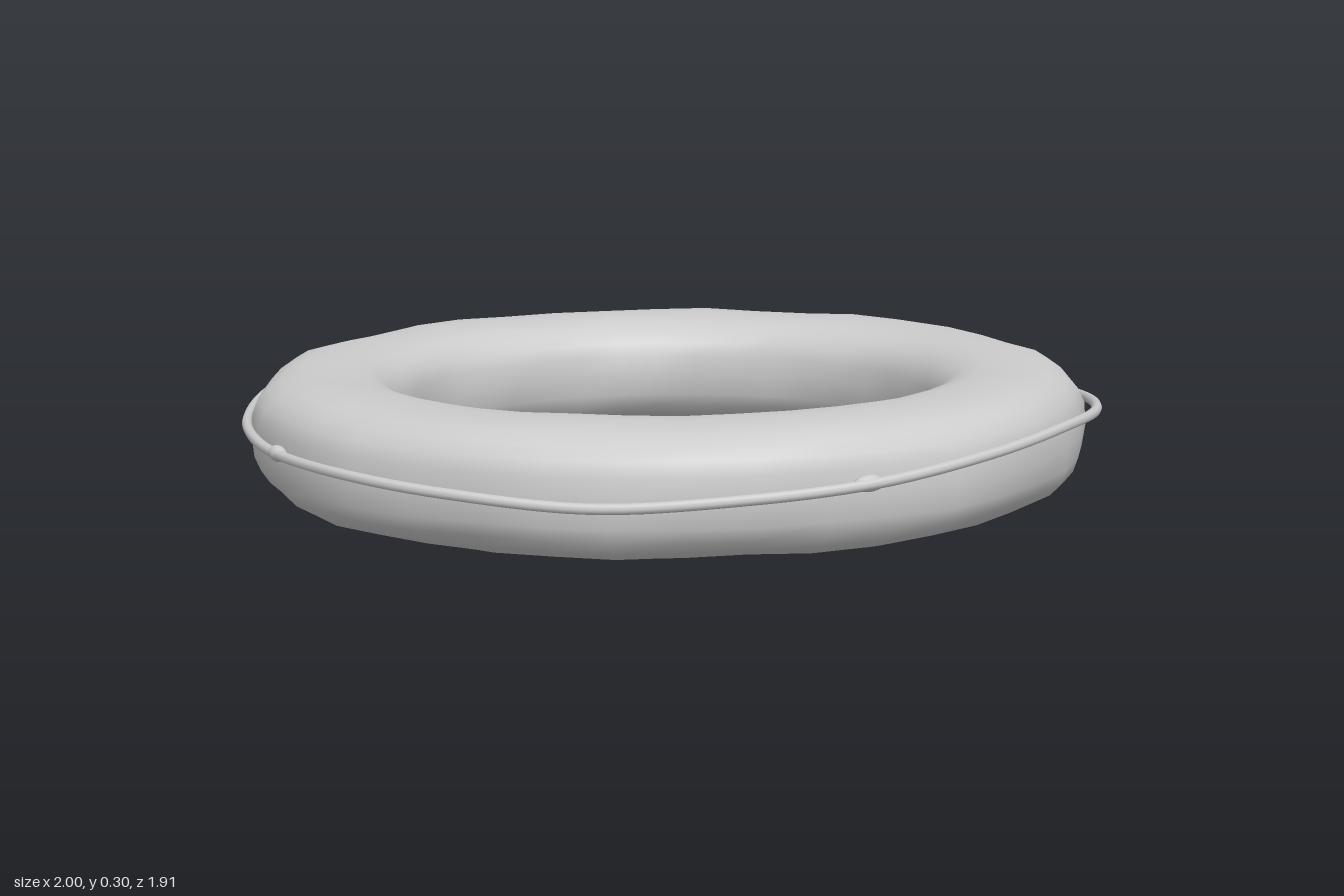
import * as THREE from 'three';
import { mergeVertices } from 'three/addons/utils/BufferGeometryUtils.js';

const material = new THREE.MeshStandardMaterial({ color: 0xcccccc, roughness: 0.8 });

// Signed power, for a rounded-square cross-section
const spow = (v, p) => Math.sign(v) * Math.pow(Math.abs(v), p);

// Inflated ring: a torus reshaped to an oval plan, boxy section and slight dents
function ringGeometry() {
  let g = new THREE.TorusGeometry(1, 0.5, 24, 40);
  g.rotateX(-Math.PI / 2);
  g.deleteAttribute('uv');
  g.deleteAttribute('normal');
  g = mergeVertices(g, 1e-4);
  const p = g.attributes.position;
  for (let i = 0; i < p.count; i++) {
    const x = p.getX(i), y = p.getY(i), z = p.getZ(i);
    const a = Math.atan2(z, x);
    const v = Math.atan2(y, Math.hypot(x, z) - 1);
    const across = 0.5 + 0.5 * spow(Math.cos(v), 0.76);
    const up = spow(Math.sin(v), 0.76);
    const swell = 0.014 * Math.sin(2 * a) ** 2;
    const dent = 0.004 * Math.sin(9 * a + 2 * v) + 0.003 * Math.sin(14 * a - 3 * v);
    const rx = THREE.MathUtils.lerp(0.625, 0.972 + swell, across) + dent;
    const rz = THREE.MathUtils.lerp(0.57, 0.925 + swell, across) + dent;
    const sag = 0.006 * Math.cos(a) - 0.008 * Math.max(0, Math.sin(a)) * (up < 0 ? 1 : 0);
    p.setXYZ(i,
      rx * Math.cos(a) - 0.008,
      0.158 + 0.139 * up + sag + dent * 0.5 * up,
      rz * Math.sin(a) - 0.006);
  }
  g.computeVertexNormals();
  return g;
}

// Grab line looped around the outside, rising and dipping between fixings
const ropePath = new THREE.CatmullRomCurve3([
  [0.985, 0.20, -0.02], [0.95, 0.225, 0.3], [0.84, 0.235, 0.53], [0.66, 0.215, 0.71],
  [0.38, 0.185, 0.875], [0.1, 0.165, 0.935], [-0.2, 0.15, 0.93], [-0.5, 0.165, 0.84],
  [-0.7, 0.175, 0.71], [-0.885, 0.17, 0.44], [-0.965, 0.175, 0.22], [-0.988, 0.18, 0],
  [-0.955, 0.19, -0.3], [-0.84, 0.21, -0.55], [-0.62, 0.22, -0.76], [-0.33, 0.21, -0.9],
  [0, 0.20, -0.943], [0.3, 0.20, -0.905], [0.55, 0.18, -0.815], [0.8, 0.165, -0.61],
  [0.935, 0.165, -0.36],
].map(c => new THREE.Vector3(...c)), true);

export function createModel() {
  const model = new THREE.Group();
  model.name = 'lifeRing';

  const ring = new THREE.Mesh(ringGeometry(), material);
  ring.name = 'ring';
  model.add(ring);

  const rope = new THREE.Mesh(new THREE.TubeGeometry(ropePath, 160, 0.012, 8, true), material);
  rope.name = 'grabRope';
  model.add(rope);

  // Small flattened fixings where the rope meets the ring
  const fixings = new THREE.Group();
  fixings.name = 'ropeFixings';
  for (const [x, y, z] of [[0.93, 0.165, -0.36], [-0.33, 0.21, -0.895], [0.37, 0.185, 0.868], [-0.88, 0.17, 0.44]]) {
    const fixing = new THREE.Mesh(new THREE.SphereGeometry(1, 12, 8), material);
    fixing.name = 'ropeFixing';
    fixing.scale.set(0.018, 0.018, 0.035);
    fixing.position.set(x, y, z);
    fixing.rotation.y = Math.atan2(-z, x);
    fixings.add(fixing);
  }
  model.add(fixings);
  return model;
}
